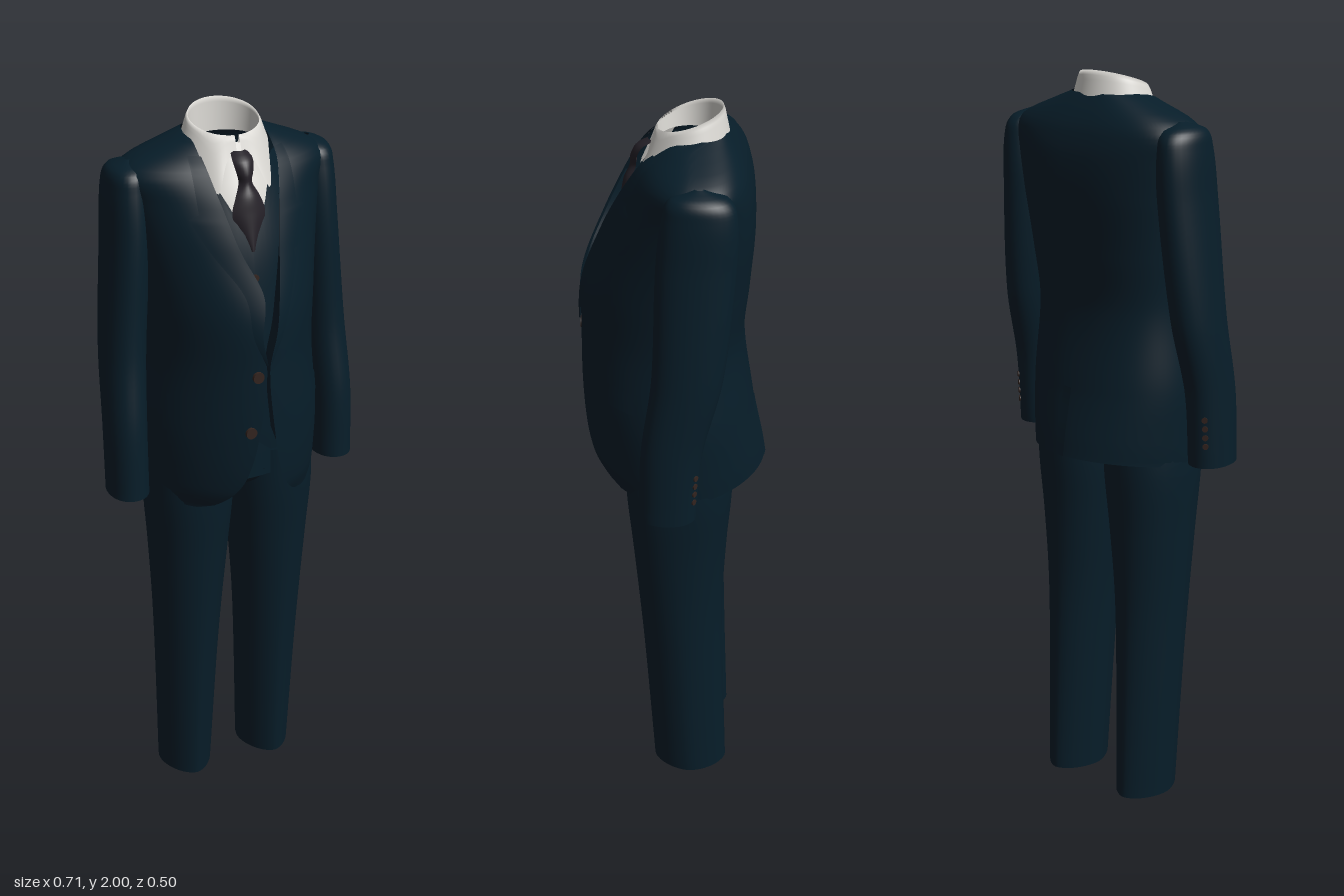
import * as THREE from 'three';

const mat = (name, color) => Object.assign(new THREE.MeshStandardMaterial({ color, side: THREE.DoubleSide }), { name });

// Smooth interpolation through rows of [key, a, b, ...]
function sample(rows, k) {
  const n = rows.length - 1;
  let i = 0;
  while (i < n - 1 && k > rows[i + 1][0]) i++;
  const A = rows[i], B = rows[i + 1], h = B[0] - A[0];
  const t = Math.min(1, Math.max(0, (k - A[0]) / h));
  const slope = (j, c) => {
    const p = rows[Math.max(0, j - 1)], q = rows[Math.min(n, j + 1)];
    return (q[c] - p[c]) / (q[0] - p[0]);
  };
  return A.slice(1).map((a, c) => {
    const b = B[c + 1], t2 = t * t, t3 = t2 * t;
    return a * (2 * t3 - 3 * t2 + 1) + b * (3 * t2 - 2 * t3)
      + h * (slope(i, c + 1) * (t3 - 2 * t2 + t) + slope(i + 1, c + 1) * (t3 - t2));
  });
}

// Grid surface from fn(u, v) -> [x, y, z]; wrap closes it in u
function grid(nu, nv, fn, wrap = false) {
  const pos = [], idx = [], cols = wrap ? nu : nu + 1;
  for (let j = 0; j <= nv; j++) for (let i = 0; i < cols; i++) pos.push(...fn(i / nu, j / nv));
  for (let j = 0; j < nv; j++) for (let i = 0; i < nu; i++) {
    const a = j * cols + i, b = j * cols + (i + 1) % cols;
    idx.push(a, b, b + cols, a, b + cols, a + cols);
  }
  const g = new THREE.BufferGeometry();
  g.setAttribute('position', new THREE.Float32BufferAttribute(pos, 3));
  g.setIndex(idx);
  g.computeVertexNormals();
  return g;
}

const lerp = THREE.MathUtils.lerp;
const spow = (v, p) => Math.sign(v) * Math.abs(v) ** p;

// Jacket rings: y, half width, front z, back z, middle z
const BODY = [
  [0.985, 0.235, 0.195, -0.247, -0.02], [1.05, 0.238, 0.225, -0.238, -0.02], [1.2, 0.24, 0.24, -0.212, -0.02],
  [1.4, 0.221, 0.24, -0.184, -0.02], [1.55, 0.228, 0.232, -0.195, -0.03], [1.7, 0.245, 0.182, -0.205, -0.04],
  [1.8, 0.262, 0.136, -0.2, -0.05], [1.86, 0.275, 0.1, -0.185, -0.05], [1.89, 0.24, 0.08, -0.17, -0.05],
  [1.92, 0.165, 0.05, -0.15, -0.05], [1.945, 0.1, 0.03, -0.13, -0.05]];
// Jacket front opening: y, distance from the middle
const EDGE = [[0.985, 0.15], [1.0, 0.115], [1.05, 0.072], [1.1, 0.048], [1.2, 0.025], [1.4, 0.004], [1.5, 0.025],
  [1.6, 0.04], [1.75, 0.066], [1.85, 0.089], [1.9, 0.098], [1.945, 0.099]];
// Chest under the jacket: y, front z, curvature
const CHEST = [[1.1, 0.15, 2.5], [1.2, 0.16, 2.5], [1.4, 0.165, 2.5], [1.6, 0.152, 2.5], [1.7, 0.136, 2.6],
  [1.8, 0.105, 3.5], [1.87, 0.072, 4.5], [1.93, 0.042, 5]];
// Sleeve rings: y, centre x, centre z, radius x, radius z
const SLEEVE = [[1.008, 0.3, 0.003, 0.055, 0.074], [1.2, 0.297, -0.008, 0.055, 0.078], [1.4, 0.284, -0.045, 0.057, 0.088],
  [1.7, 0.26, -0.065, 0.056, 0.097], [1.83, 0.254, -0.072, 0.052, 0.088], [1.872, 0.248, -0.07, 0.043, 0.066],
  [1.889, 0.243, -0.07, 0.006, 0.01]];
// Leg rings: y, centre x, radius x, front z, back z, roundness
const LEG = [[0.005, 0.128, 0.078, 0.05, -0.16, 1.18], [0.4, 0.125, 0.09, 0.075, -0.146, 1.12],
  [0.6, 0.123, 0.098, 0.09, -0.142, 1.06], [0.8, 0.12, 0.109, 0.107, -0.15, 0.98],
  [0.97, 0.118, 0.118, 0.122, -0.162, 0.92], [1.1, 0.115, 0.112, 0.125, -0.16, 0.9]];

// Front edge of a jacket half; the right half laps further over at the chest
function edge(s, y) {
  const [e] = sample(EDGE, y);
  return s > 0 ? e : e - 0.03 * Math.exp(-(((y - 1.6) / 0.08) ** 2));
}
const NF = 1.78;
// Point on the jacket front at a given x
function front(x, y, off = 0) {
  const [hw, zf, , zc] = sample(BODY, y);
  const r = Math.min(1, Math.abs(x) / hw);
  return [x, y, zc + (zf - zc) * (1 - r ** NF) ** (1 / NF) + off];
}
// Point on the jacket at an angle (0 front, PI back)
function around(t, y, off = 0) {
  const [hw, zf, zb, zc] = sample(BODY, y);
  const c = Math.cos(t), n = c > 0 ? NF : lerp(1.9, 2.8, Math.min(1, (y - 0.985) / 0.7));
  const d = c > 0 ? zf - zc + off : zc - zb + off;
  const lift = c < 0 ? -c * 0.035 * Math.max(0, 1 - (y - 0.985) / 0.2) : 0;
  return [(hw + off) * spow(Math.sin(t), 2 / n), y + lift, zc + d * spow(c, 2 / n)];
}
const chest = (x, y, off = 0) => {
  const [z, k] = sample(CHEST, y);
  return [x, y, z - k * x * x + off];
};

export function createModel() {
  const model = new THREE.Group();
  model.name = 'suit';
  const navy = mat('navy wool', 0x071d29), white = mat('white cotton', 0xd9d7d2);
  const silk = mat('dark silk', 0x242027), horn = mat('brown button', 0x33241f);
  const add = (name, geo, material) => {
    const m = new THREE.Mesh(geo, material);
    m.name = name;
    model.add(m);
    return m;
  };
  const button = (name, [x, y, z], r) => {
    const b = add(name, new THREE.CylinderGeometry(r, r, 0.008, 14), horn);
    b.rotation.x = Math.PI / 2;
    b.position.set(x, y, z);
    return b;
  };

  // Jacket body, open down the front
  add('jacketBody', grid(72, 72, (u, v) => {
    const y = lerp(0.985, 1.945, v), [hw] = sample(BODY, y);
    const start = s => Math.asin(Math.min(1, (edge(s, y) / hw) ** (NF / 2)));
    return around(lerp(start(1), 2 * Math.PI - start(-1), u), y);
  }), navy);
  // Back vent overlap
  add('backVent', grid(4, 12, (u, v) => {
    const p = around(Math.PI, lerp(0.985, 1.2, v), 0.003);
    return [p[0] + u * 0.03, p[1], p[2] + 0.004 * u];
  }), navy);

  for (const s of [1, -1]) {
    const side = s > 0 ? 'left' : 'right';
    // Lapel lying on the jacket front, with a notch
    const lapelWidth = y => (y < 1.78 ? lerp(0.004, 0.085, (y - 1.42) / 0.36) : lerp(0.06, 0.03, (y - 1.78) / 0.13));
    add(side + 'Lapel', grid(6, 40, (u, v) => {
      const y = lerp(1.42, 1.91, v);
      return front(s * (edge(s, y) - 0.002 + u * lapelWidth(y)), y, 0.006 - 0.004 * u);
    }), navy);
    // Facing turned in behind the front edge
    add(side + 'Facing', grid(3, 30, (u, v) => {
      const y = lerp(1.2, 1.8, v), x = s * edge(s, y);
      const a = front(x, y), b = chest(x + s * 0.02, y, 0.006);
      return [lerp(a[0], b[0], u), y, lerp(a[2], b[2], u)];
    }), navy);
    // Hip pocket flap
    add(side + 'PocketFlap', grid(8, 3, (u, v) => {
      const x = lerp(0.14, 0.21, u);
      return front(s * x, lerp(1.255, 1.315, v) - (x - 0.15) * 0.12, 0.005);
    }), navy);

    // Sleeve, open at the cuff
    add(side + 'Sleeve', grid(32, 56, (u, v) => {
      const y = lerp(1.008, 1.889, 1 - (1 - v) ** 1.5), [cx, cz, rx, rz] = sample(SLEEVE, y), t = u * 2 * Math.PI;
      return [s * (cx + rx * spow(Math.cos(t), 0.95)), y, cz + rz * spow(Math.sin(t), 0.95)];
    }, true), navy);
    for (let i = 0; i < 4; i++) {
      const y = 1.07 + i * 0.024, [cx, cz, rx, rz] = sample(SLEEVE, y);
      const b = button(side + 'CuffButton', [s * (cx + rx * 0.5), y, cz - rz * 0.86], 0.008);
      b.rotation.set(Math.PI / 2, 0, s * 0.6);
    }

    // Trouser leg, open at both ends
    add(side + 'Leg', grid(36, 32, (u, v) => {
      const y = lerp(0.005, 1.1, v), [cx, rx, zf, zb, p] = sample(LEG, y), t = u * 2 * Math.PI;
      const zc = (zf + zb) / 2, rz = (zf - zb) / 2;
      return [s * (cx + rx * spow(Math.cos(t), p)), y, zc + rz * spow(Math.sin(t), p)];
    }, true), navy);

    // Waistcoat half with V neck and pointed hem
    add(side + 'Waistcoat', grid(10, 36, (u, v) => {
      const yTop = lerp(1.695, 1.89, Math.min(1, u * 1.8)), x = u * 0.17;
      const yHem = 1.17 - 0.05 * Math.min(1, u * 3) + 0.03 * Math.max(0, u - 0.33);
      return chest(s * x, lerp(yHem, yTop, v), 0.004);
    }), navy);
  }
  // Breast pocket on the left chest
  add('breastPocket', grid(6, 2, (u, v) => front(lerp(0.1, 0.18, u), 1.665 + 0.02 * v + 0.012 * u, 0.004)), navy);

  // Trouser seat joining the legs
  add('trouserSeat', grid(40, 8, (u, v) => {
    const t = u * 2 * Math.PI;
    return [0.222 * spow(Math.sin(t), 0.95), lerp(1.03, 1.22, v), -0.02 + 0.14 * spow(Math.cos(t), 0.9)];
  }, true), navy);
  // Crotch saddle between the legs
  add('crotch', grid(6, 20, (u, v) => {
    const z = lerp(-0.155, 0.118, v), w = (z + 0.0185) / 0.1365;
    return [lerp(-0.05, 0.05, u), 0.975 + 0.075 * w ** 4, z];
  }), navy);

  // Buttons
  button('jacketButton', front(-0.028, 1.39, 0.004), 0.015);
  button('jacketButton', front(-0.045, 1.235, 0.004), 0.015);
  for (let i = 0; i < 5; i++) button('waistcoatButton', chest(0, 1.3 + i * 0.08, 0.006), 0.009);

  // Shirt front
  add('shirtFront', grid(16, 16, (u, v) => chest(lerp(-0.1, 0.1, u), lerp(1.58, 1.93, v), -0.006)), white);

  // Shirt collar: inner band folding over to an outer leaf with two points
  add('shirtCollar', grid(64, 12, (u, v) => {
    const t = lerp(0.06, 2 * Math.PI - 0.06, u), c = Math.cos(t), sn = Math.sin(t);
    const a = Math.min(t, 2 * Math.PI - t);
    const top = 1.975 - 0.026 * c;
    if (v <= 0.5) {
      const w = v * 2;
      return [lerp(0.084, 0.09, w) * sn, lerp(1.915, top, w), -0.04 + lerp(0.075, 0.08, w) * c];
    }
    const w = v * 2 - 1, drop = 0.09 * Math.exp(-(((a - 0.68) / 0.28) ** 2));
    return [lerp(0.092, 0.112, w) * sn, lerp(top, 1.92 - 0.012 * c - drop, w),
      -0.04 + lerp(0.082, 0.097, w) * c + drop * 0.55 * w];
  }), white);

  // Tie: knot and blade in one tapering strip
  const TIE = [[1.685, 0.01, 0.146], [1.73, 0.03, 0.138], [1.775, 0.044, 0.13], [1.815, 0.032, 0.122],
    [1.845, 0.018, 0.108], [1.87, 0.022, 0.106], [1.9, 0.027, 0.09], [1.915, 0.02, 0.062]];
  add('tie', grid(10, 36, (u, v) => {
    const y = lerp(1.685, 1.915, v), [w, z] = sample(TIE, y), k = u * 2 - 1;
    return [w * k, y, z - 0.016 * k * k];
  }), silk);

  return model;
}
